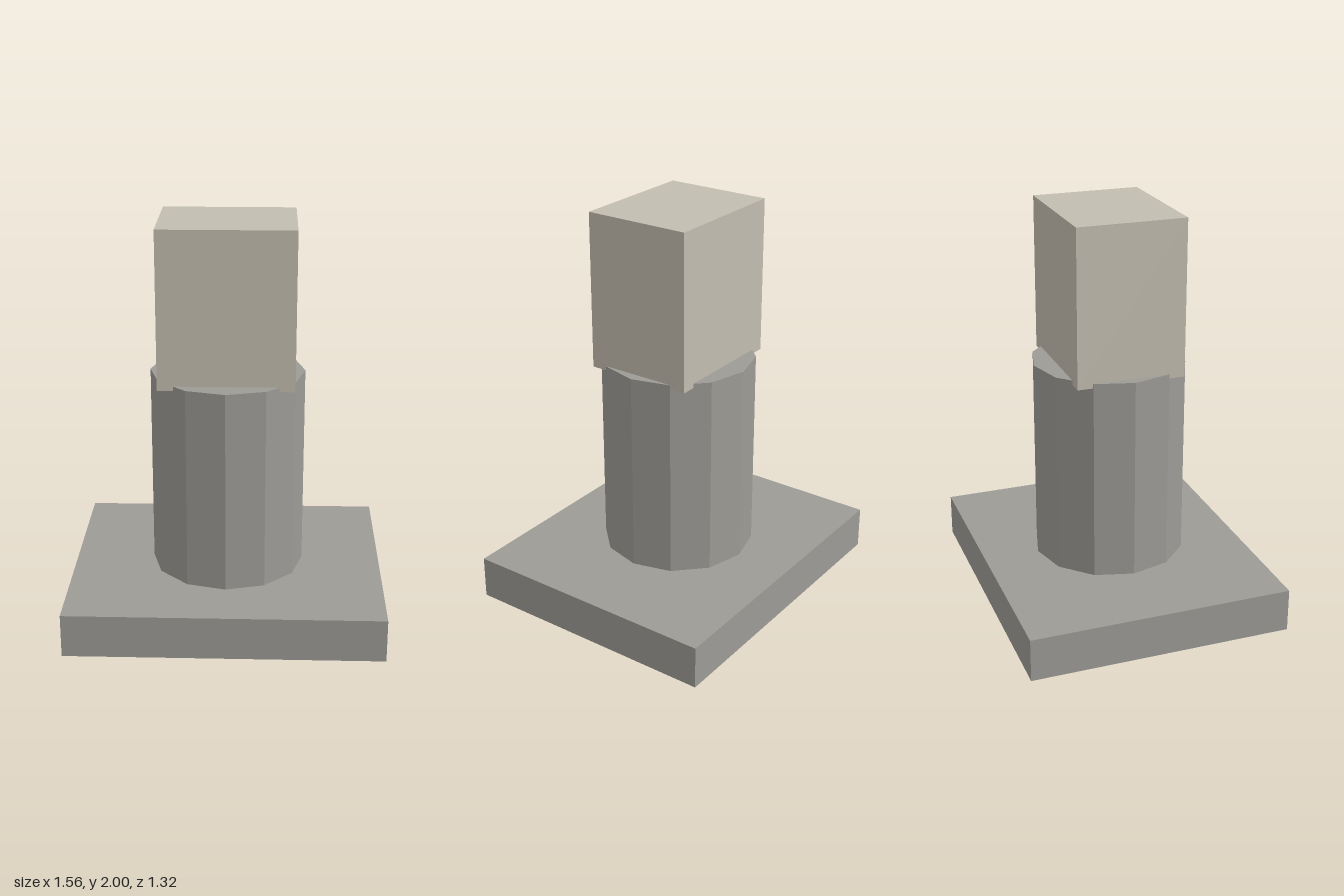
import * as THREE from 'three';

export function createModel() {
  const group = new THREE.Group();
  group.name = 'pedestal';

  const stone = new THREE.MeshStandardMaterial({ color: 0x9d9b96 });
  stone.name = 'grey stone';
  stone.flatShading = true;
  const pale = new THREE.MeshStandardMaterial({ color: 0xc3bdb0 });
  pale.name = 'pale stone';

  // Adds a part spanning the heights y0 to y1
  const add = (name, geometry, material, y0, y1) => {
    const mesh = new THREE.Mesh(geometry, material);
    mesh.name = name;
    mesh.position.y = (y0 + y1) / 2;
    group.add(mesh);
  };

  // Wide rectangular slab at the bottom
  add('base', new THREE.BoxGeometry(1.56, 0.217, 1.315), stone, 0, 0.217);

  // Twelve-sided column, hovering just above the slab
  add('column', new THREE.CylinderGeometry(0.383, 0.383, 1.018, 12), stone, 0.227, 1.245);

  // Block sunk slightly into the column, its corners overhanging
  add('topBlock', new THREE.BoxGeometry(0.66, 0.777, 0.54), pale, 1.223, 2);

  return group;
}
